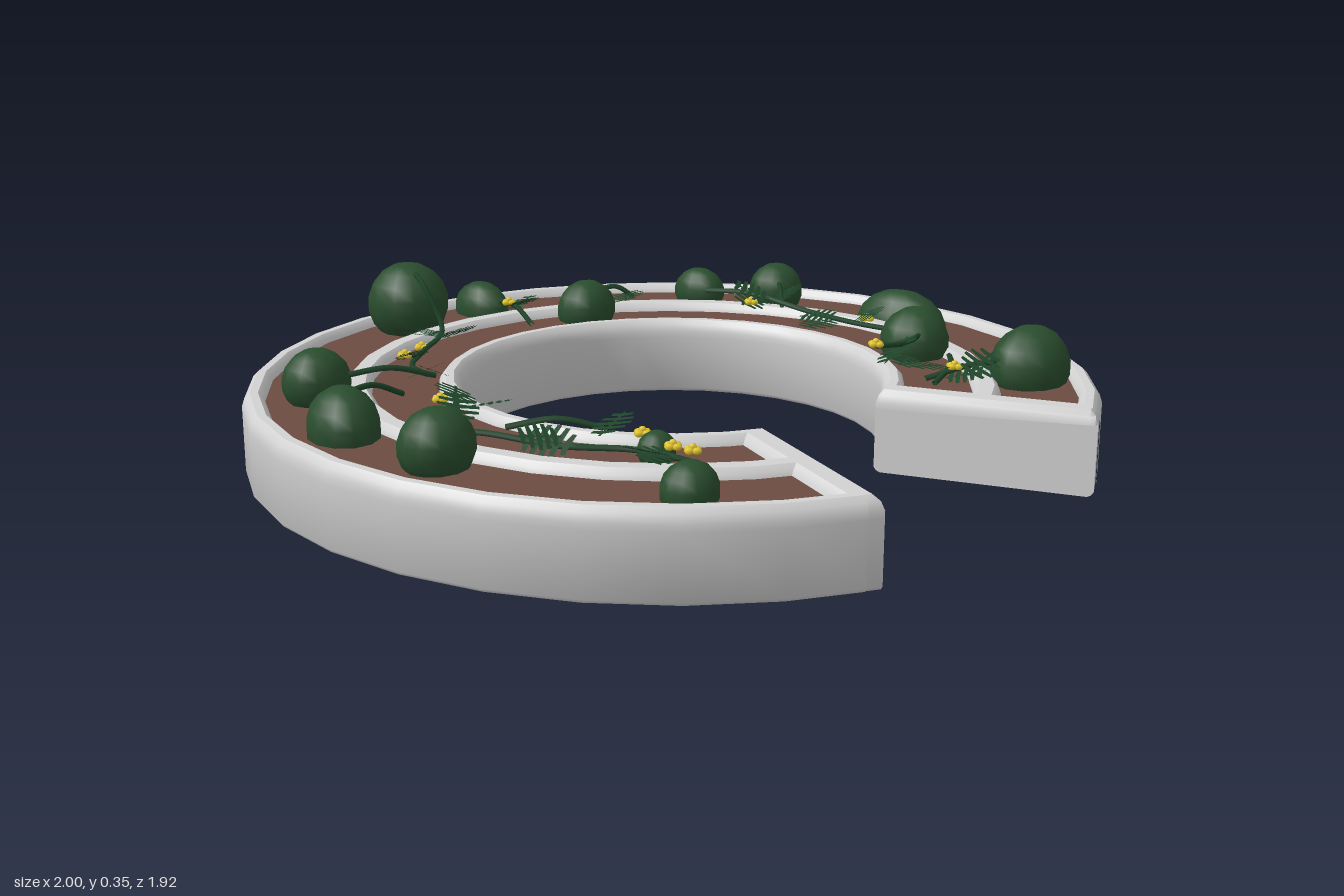
import * as THREE from 'three';
import { toCreasedNormals, mergeGeometries } from 'three/addons/utils/BufferGeometryUtils.js';

const ZC = 0.038;                       // centre of the ring in z
const END = Math.PI / 8;                // half of the opening angle
const SOIL_Y = 0.173;

const mat = (name, color, side = THREE.FrontSide) => {
  const m = new THREE.MeshStandardMaterial({ color, side });
  m.name = name;
  return m;
};

// Skin a closed profile (counter-clockwise in r, y) along sections
// { a: angle from +z, t: sideways offset, top: height limit }
function sweep(profile, sections, capped) {
  const n = profile.length, pos = [], idx = [];
  for (const { a, t = 0, top = 1 } of sections) {
    for (const [r, y] of profile) {
      const d = r - 0.098 * Math.abs(t);
      pos.push(d * Math.sin(a) + t * Math.cos(a), Math.min(y, top), ZC + d * Math.cos(a) - t * Math.sin(a));
    }
  }
  const last = (sections.length - 1) * n;
  for (let i = 0; i < last; i += n) {
    for (let j = 0; j < n; j++) {
      const p = i + j, q = i + (j + 1) % n;
      idx.push(p, p + n, q, q, p + n, q + n);
    }
  }
  if (capped) {
    for (let j = 1; j < n - 1; j++) idx.push(0, j, j + 1, last, last + j + 1, last + j);
  }
  const g = new THREE.BufferGeometry();
  g.setAttribute('position', new THREE.Float32BufferAttribute(pos, 3));
  g.setIndex(idx);
  return toCreasedNormals(g, 0.72);
}

// Rounded wall top from outer radius r1 to inner radius r0
const wallTop = (r0, r1) => [
  [r1, 0.165], [r1 - 0.006, 0.183], [r1 - 0.018, 0.195],
  [r0 + 0.018, 0.195], [r0 + 0.006, 0.183], [r0, 0.165],
];

// Serrated fern frond lying in the xz plane, pointing along +x, one unit long
function frondGeometry() {
  const upper = [[0, 0.03]], pairs = 5;
  for (let i = 0; i < pairs; i++) {
    const x = 0.08 + i * 0.17, w = 0.42 * Math.sin(0.75 + i * 0.44);
    upper.push([x, 0.03], [x + 0.05, w], [x + 0.13, w], [x + 0.12, 0.03]);
  }
  upper.push([1, 0]);
  const lower = upper.slice(0, -1).reverse().map(([x, y]) => [x, -y]);
  const shape = new THREE.Shape([...upper, ...lower].map(([x, y]) => new THREE.Vector2(x, y)));
  return new THREE.ShapeGeometry(shape).rotateX(-Math.PI / 2);
}

export function createModel() {
  const root = new THREE.Group();
  root.name = 'ringPlanter';
  const stone = mat('pale stone', 0xd2d2d2);
  const earth = mat('brown soil', 0x6d4c41);
  const bushGreen = mat('bush green', 0x2a4d2e);
  const leafGreen = mat('fern green', 0x1f4429, THREE.DoubleSide);
  const yellow = mat('flower yellow', 0xe2c52a);

  const add = (name, geometry, material, parent = root) => {
    const m = new THREE.Mesh(geometry, material);
    m.name = name;
    parent.add(m);
    return m;
  };

  // Ring body with three concentric walls
  const steps = 28, sections = [];
  for (let i = 0; i <= steps; i++) {
    const inset = i === 0 ? 0.035 : i === steps ? -0.035 : 0;
    sections.push({ a: END + i * Math.PI / 16 + inset });
  }
  const foot = [[0.5, 0.15], [0.5, 0.012], [0.506, 0.004], [0.515, 0], [0.985, 0], [0.994, 0.004], [1, 0.012], [1, 0.15]];
  const body = [
    ...foot, ...wallTop(0.945, 1), [0.945, 0.15],
    [0.775, 0.15], ...wallTop(0.705, 0.775), [0.705, 0.15],
    [0.555, 0.15], ...wallTop(0.5, 0.555),
  ];
  add('ringWalls', sweep(body, sections), stone);

  // Soil beds between the walls
  for (const [name, r0, r1] of [['innerSoil', 0.54, 0.72], ['outerSoil', 0.76, 0.96]]) {
    add(name, sweep([[r0, 0.14], [r1, 0.14], [r1, SOIL_Y], [r0, SOIL_Y]], sections), earth);
  }

  // End walls on both sides of the opening
  const slab = [[0, 0.165], [0.006, 0.183], [0.018, 0.195], [0.06, 0.195], [0.072, 0.183], [0.08, 0.165]];
  const endProfile = [...foot, ...wallTop(0.5, 1)];
  add('leftEndWall', sweep(endProfile, slab.map(([t, top]) => ({ a: END, t, top })), true), stone);
  add('rightEndWall', sweep(endProfile,
    slab.slice().reverse().map(([t, top]) => ({ a: 2 * Math.PI - END, t: -t, top })), true), stone);

  // Bushes: x, z, radius x, radius z, top height, turn
  const bushes = [
    [-0.13, -0.8, 0.105, 0.11, 0.355, 0], [0.13, -0.81, 0.06, 0.09, 0.262, 0],
    [0.285, -0.555, 0.085, 0.073, 0.28, 0], [0.655, -0.48, 0.056, 0.076, 0.27, 0.15],
    [0.77, -0.295, 0.078, 0.073, 0.293, 0], [0.85, 0.08, 0.08, 0.137, 0.262, 0.12],
    [0.59, 0.315, 0.09, 0.085, 0.295, 0], [0.57, 0.665, 0.108, 0.09, 0.31, 0],
    [-0.605, 0.665, 0.063, 0.058, 0.25, 0], [-0.48, 0.455, 0.042, 0.04, 0.237, 0],
    [-0.82, 0.17, 0.085, 0.077, 0.3, 0], [-0.82, -0.145, 0.08, 0.102, 0.282, -0.4],
    [-0.7, -0.41, 0.082, 0.073, 0.296, 0],
  ];
  const ball = new THREE.SphereGeometry(1, 12, 9);
  for (const [x, z, rx, rz, top, turn] of bushes) {
    const ry = Math.min(0.11, (rx + rz) / 2);
    const b = add('bush', ball, bushGreen);
    b.position.set(x, top - ry, z);
    b.scale.set(rx, ry, rz);
    b.rotation.y = turn;
  }

  // Creeping stems: points of x, y, z
  const vines = [
    [[-0.15, 0.335, -0.74], [-0.18, 0.32, -0.67], [-0.18, 0.22, -0.6], [-0.3, 0.2, -0.52], [-0.42, 0.2, -0.42], [-0.47, 0.21, -0.3]],
    [[-0.66, 0.23, -0.37], [-0.56, 0.24, -0.32], [-0.46, 0.21, -0.28]],
    [[-0.78, 0.25, -0.19], [-0.7, 0.25, -0.2], [-0.61, 0.21, -0.21]],
    [[-0.53, 0.2, -0.12], [-0.6, 0.21, -0.04], [-0.71, 0.21, 0.05], [-0.67, 0.21, 0.17], [-0.61, 0.2, 0.3], [-0.52, 0.2, 0.43], [-0.5, 0.2, 0.52], [-0.52, 0.21, 0.63]],
    [[-0.62, 0.21, 0.15], [-0.55, 0.23, 0.23], [-0.48, 0.21, 0.3]],
    [[0.13, 0.22, -0.74], [0.12, 0.22, -0.66], [0.09, 0.19, -0.56]],
    [[0.33, 0.24, -0.57], [0.38, 0.25, -0.54], [0.42, 0.22, -0.51]],
    [[0.62, 0.22, -0.42], [0.64, 0.23, -0.28], [0.65, 0.21, -0.08], [0.63, 0.21, 0.1], [0.61, 0.22, 0.27]],
    [[0.75, 0.25, -0.27], [0.7, 0.24, -0.22], [0.65, 0.21, -0.17]],
    [[0.55, 0.24, 0.36], [0.45, 0.24, 0.39], [0.345, 0.25, 0.38]],
    [[0.49, 0.22, 0.49], [0.41, 0.22, 0.55], [0.32, 0.2, 0.57]],
    [[0.5, 0.23, 0.64], [0.42, 0.23, 0.6], [0.34, 0.2, 0.53]],
  ];
  for (const points of vines) {
    const curve = new THREE.CatmullRomCurve3(points.map((p) => new THREE.Vector3(...p)));
    add('stem', new THREE.TubeGeometry(curve, points.length * 4, 0.007, 5), leafGreen);
  }

  // Fern fronds: base x, base z, heading in degrees from +x towards -z, length
  const fronds = [
    [-0.2, -0.59, 0, 0.12], [-0.2, -0.59, 215, 0.1], [-0.27, -0.53, 200, 0.12], [-0.38, -0.46, 230, 0.1],
    [-0.41, -0.33, 200, 0.13], [-0.48, -0.3, 250, 0.1], [0.12, -0.68, 5, 0.1], [0.13, -0.67, 260, 0.1],
    [0.42, -0.54, 225, 0.12], [0.6, -0.27, 20, 0.12], [0.64, -0.18, 10, 0.12], [0.63, -0.2, 120, 0.11],
    [0.63, 0.02, 180, 0.12], [0.57, -0.04, 280, 0.11], [0.65, 0.1, 250, 0.1], [0.37, 0.39, 0, 0.13],
    [0.43, 0.42, 200, 0.1], [0.38, 0.55, 175, 0.12], [0.36, 0.57, 300, 0.1], [0.38, 0.62, 10, 0.11],
    [-0.53, -0.12, 230, 0.12], [-0.57, -0.04, 320, 0.11], [-0.76, 0.03, 350, 0.11], [-0.7, 0.1, 60, 0.11],
    [-0.64, 0.22, 290, 0.13], [-0.6, 0.3, 150, 0.1], [-0.57, 0.38, 10, 0.11], [-0.52, 0.5, 195, 0.12],
    [-0.6, 0.54, 20, 0.1],
  ];
  const frond = frondGeometry();
  fronds.forEach(([x, z, heading, length], i) => {
    const f = add('fernFrond', frond, leafGreen);
    f.position.set(x, 0.205 + (i % 3) * 0.012, z);
    f.rotation.set((i % 5 - 2) * 0.22, THREE.MathUtils.degToRad(heading), (i % 4) * 0.13, 'YXZ');
    f.scale.setScalar(length);
  });

  // Small flowers: four round petals about a raised centre
  const petals = [];
  for (let k = 0; k < 4; k++) {
    const a = k * Math.PI / 2;
    petals.push(new THREE.SphereGeometry(0.011, 6, 4).scale(1, 0.7, 1)
      .translate(0.011 * Math.cos(a), 0, 0.011 * Math.sin(a)));
  }
  petals.push(new THREE.SphereGeometry(0.009, 6, 4).translate(0, 0.006, 0));
  const bloom = mergeGeometries(petals);
  const flowers = [
    [-0.29, 0.2, -0.545], [-0.42, 0.222, -0.445], [0.12, 0.225, -0.685], [0.58, 0.225, -0.22],
    [0.66, 0.22, 0.11], [0.345, 0.255, 0.38], [0.39, 0.228, 0.575], [-0.6, 0.22, -0.09],
    [-0.735, 0.22, 0.02], [-0.46, 0.215, 0.395], [-0.505, 0.225, 0.525], [-0.49, 0.222, 0.565],
  ];
  for (const p of flowers) add('flower', bloom, yellow).position.set(...p);

  return root;
}
